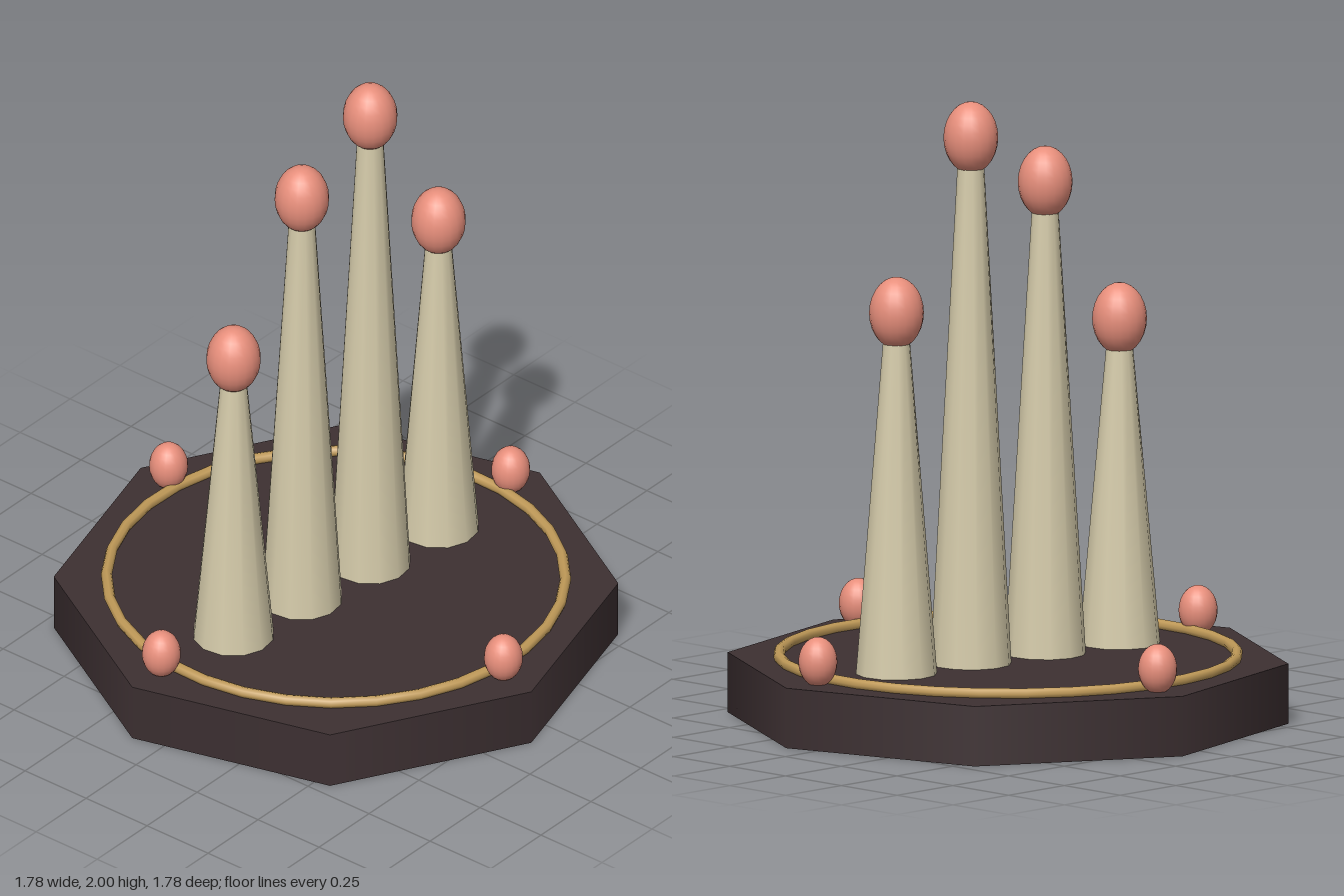
import * as THREE from 'three';

const mat = (color) => new THREE.MeshStandardMaterial({ color });

export function createModel() {
  const model = new THREE.Group();
  model.name = 'fingerStand';
  const baseMat = mat(0x3d3032);
  const goldMat = mat(0xc09a58);
  const boneMat = mat(0xd6ccab);
  const tipMat = mat(0xe88f7c);

  const add = (name, geometry, material, x, y, z) => {
    const mesh = new THREE.Mesh(geometry, material);
    mesh.name = name;
    mesh.position.set(x, y, z);
    model.add(mesh);
    return mesh;
  };

  // Egg-shaped bead: a sphere stretched upwards
  const bead = (name, r, ry, x, y, z) =>
    add(name, new THREE.SphereGeometry(r, 20, 14).scale(1, ry / r, 1), tipMat, x, y, z);

  // Octagonal plinth
  const top = 0.193;
  add('plinth', new THREE.CylinderGeometry(0.895, 0.895, top, 8), baseMat, 0, top / 2, 0);

  // Inlaid ring
  add('ring', new THREE.TorusGeometry(0.728, 0.018, 8, 32).rotateX(Math.PI / 2), goldMat, 0, 0.205, 0);

  // Four tapered spires in a row, each with a bead: [x, bead height]
  const spires = [[-0.45, 1.238], [-0.15, 1.71], [0.15, 1.885], [0.45, 1.353]];
  for (const [x, beadY] of spires) {
    const height = beadY - 0.09 - top;
    add('spire', new THREE.CylinderGeometry(0.043, 0.13, height, 12), boneMat, x, top + height / 2, 0);
    bead('spireBead', 0.087, 0.115, x, beadY, 0);
  }

  // Four small beads around the rim
  for (let i = 0; i < 4; i++) {
    const a = (i * Math.PI) / 2;
    bead('rimBead', 0.062, 0.08, 0.767 * Math.cos(a), 0.264, 0.767 * Math.sin(a));
  }

  // The whole piece is turned slightly
  model.rotation.y = -0.12;
  return model;
}
